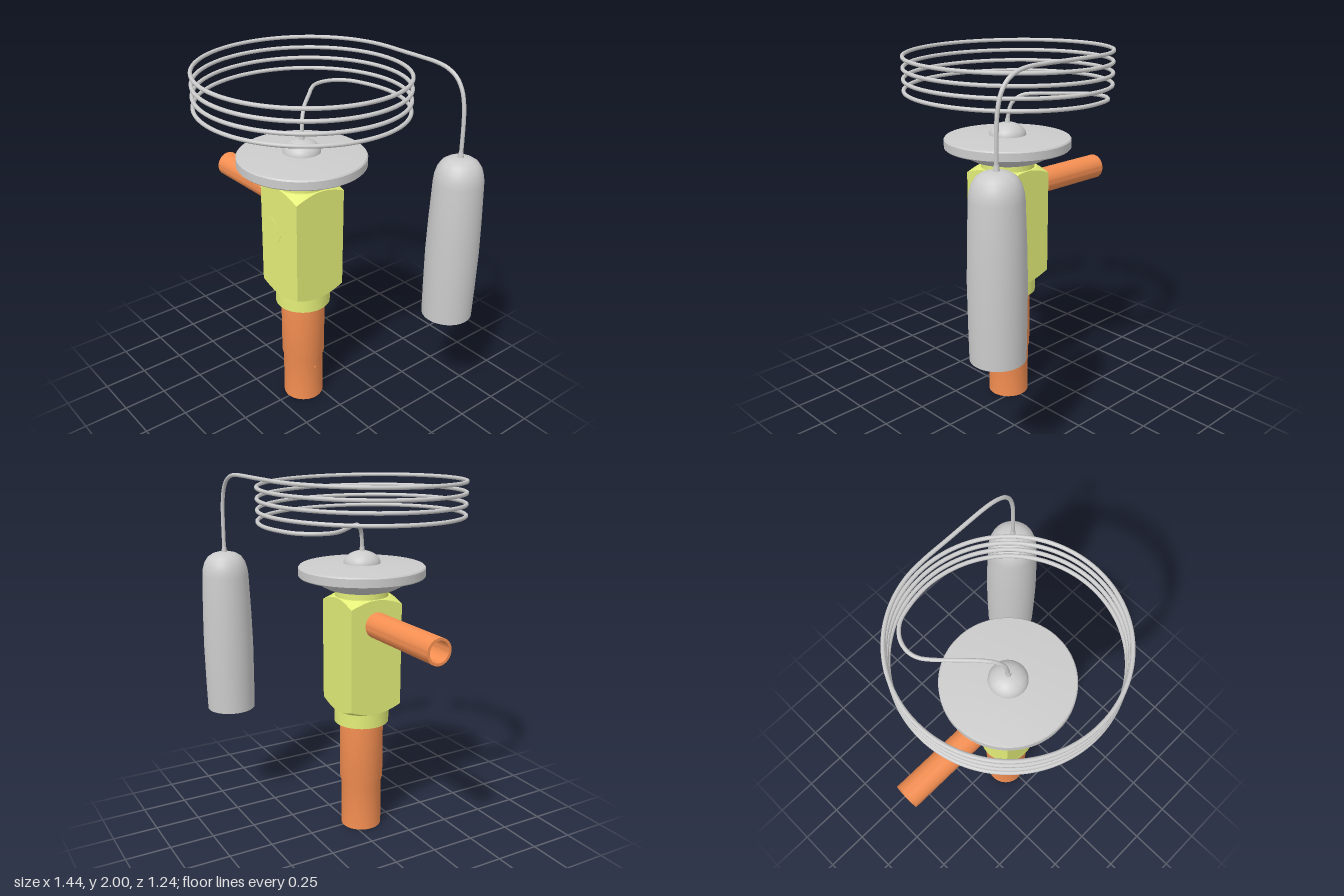
import * as THREE from 'three';
import { toCreasedNormals } from 'three/addons/utils/BufferGeometryUtils.js';

const AX = -0.01, AZ = 0.07; // valve axis
const BX = 0.578, BZ = -0.477; // bulb axis

const grey = new THREE.MeshStandardMaterial({ color: 0xcccccc });
const brass = new THREE.MeshStandardMaterial({ color: 0xe3ee78 });
const copper = new THREE.MeshStandardMaterial({ color: 0xf58f52 });

function add(parent, name, geometry, material, x = 0, y = 0, z = 0) {
  const mesh = new THREE.Mesh(geometry, material);
  mesh.name = name;
  mesh.position.set(x, y, z);
  parent.add(mesh);
  return mesh;
}

// Lathe from [radius, height] pairs listed upwards on the outside
function lathe(points, segments = 64) {
  const g = new THREE.LatheGeometry(points.map(([r, y]) => new THREE.Vector2(r, y)), segments);
  return toCreasedNormals(g, 0.5);
}

// Square bar whose corners are chamfered by a cone at both ends
function chamferedBar(half, y0, y1, slope, n = 64) {
  const pos = [], index = [];
  for (let i = 0; i <= n; i++) {
    const a = (i / n) * Math.PI * 2;
    const s = Math.sin(a), c = Math.cos(a);
    const r = half / Math.max(Math.abs(s), Math.abs(c));
    const cut = (r - half) * slope;
    const rings = [[0, y0], [half, y0], [r, y0 + cut], [r, y1 - cut], [half, y1], [0, y1]];
    for (const [q, y] of rings) pos.push(q * s, y, q * c);
  }
  for (let i = 0; i < n; i++) {
    for (let j = 0; j < 5; j++) {
      const a = i * 6 + j, b = a + 6;
      index.push(a, b, b + 1, a, b + 1, a + 1);
    }
  }
  const g = new THREE.BufferGeometry();
  g.setAttribute('position', new THREE.Float32BufferAttribute(pos, 3));
  g.setIndex(index);
  return toCreasedNormals(g, 0.3);
}

// Bent flow arrow as a flat outline
function arrowGeometry() {
  const s = new THREE.Shape();
  s.moveTo(-0.09, 1.17);
  s.quadraticCurveTo(-0.01, 1.18, 0.0, 1.1);
  s.lineTo(0.02, 1.1);
  s.lineTo(-0.012, 1.04);
  s.lineTo(-0.045, 1.1);
  s.lineTo(-0.025, 1.1);
  s.quadraticCurveTo(-0.03, 1.145, -0.09, 1.14);
  s.closePath();
  return new THREE.ExtrudeGeometry(s, { depth: 0.003, bevelEnabled: false });
}

// Capillary path: rises from the dome, coils four turns, drops to the bulb
function capillaryCurve() {
  const p = [
    [AX, 1.59, AZ], [AX - 0.003, 1.64, AZ - 0.003], [-0.025, 1.7, 0.055], [-0.06, 1.742, 0.017],
    [-0.11, 1.752, -0.037], [-0.18, 1.753, -0.11], [-0.25, 1.754, -0.182], [-0.292, 1.754, -0.24],
    [-0.304, 1.754, -0.3], [-0.284, 1.755, -0.37], [-0.225, 1.755, -0.43], [-0.12, 1.756, -0.464],
  ];
  const turns = 4, steps = 32, R = 0.542, cz = 0.065;
  for (let i = 0; i <= turns * steps; i++) {
    const a = (i / steps) * Math.PI * 2;
    p.push([AX + R * Math.sin(a), 1.757 + 0.0578 * (i / steps), cz - R * Math.cos(a)]);
  }
  p.push([0.15, 1.988, BZ], [0.28, 1.988, BZ], [0.38, 1.985, BZ], [0.45, 1.972, BZ], [0.51, 1.94, BZ],
    [0.55, 1.885, BZ], [0.57, 1.81, BZ], [0.576, 1.74, BZ], [BX, 1.65, BZ], [BX, 1.54, BZ]);
  return new THREE.CatmullRomCurve3(p.map((v) => new THREE.Vector3(...v)));
}

export function createModel() {
  const model = new THREE.Group();
  model.name = 'expansionValve';

  // Brass body with round collars
  const body = new THREE.Group();
  body.name = 'valveBody';
  body.position.set(AX, 0, AZ);
  model.add(body);
  add(body, 'squareBody', chamferedBar(0.156, 0.72, 1.36, 0.577), brass);
  add(body, 'lowerCollar', lathe([[0.1, 0.64], [0.152, 0.64], [0.152, 0.725], [0, 0.725]]), brass);
  add(body, 'upperCollar', lathe([[0, 1.355], [0.144, 1.355], [0.144, 1.41], [0, 1.41]]), brass);
  add(body, 'flowArrow', arrowGeometry(), brass, 0, 0, 0.1545);

  // Hollow copper pipes
  add(body, 'lowerPipe', lathe([
    [0.098, 0.66], [0.098, 0], [0.114, 0], [0.114, 0.27], [0.122, 0.3], [0.122, 0.66],
  ]), copper);
  const sidePipe = add(body, 'sidePipe', lathe([
    [0.056, 0.14], [0.056, 0.715], [0.07, 0.715], [0.07, 0.14],
  ].reverse(), 48), copper, 0, 1.225, 0);
  sidePipe.rotation.z = Math.PI / 2;

  // Small stop dimples on the pipes
  const dimple = new THREE.SphereGeometry(0.012, 12, 8);
  add(body, 'lowerPipeDimple', dimple, copper, 0.106, 0.22, 0);
  add(body, 'sidePipeTopDimple', dimple, copper, -0.265, 1.285, 0);
  add(body, 'sidePipeFrontDimple', dimple, copper, -0.265, 1.19, 0.052);

  // Diaphragm housing with central dome
  add(body, 'diaphragmHousing', lathe([
    [0, 1.397], [0.17, 1.397], [0.19, 1.403], [0.222, 1.42], [0.245, 1.442], [0.26, 1.45],
    [0.335, 1.464], [0.341, 1.47], [0.341, 1.513], [0.335, 1.52], [0.2, 1.532], [0, 1.536],
  ], 96), grey);
  const dome = [[0.1, 1.53]];
  for (let i = 1; i <= 10; i++) {
    const a = (i / 10) * Math.PI / 2;
    dome.push([0.1 * Math.cos(a), 1.53 + 0.07 * Math.sin(a)]);
  }
  add(body, 'housingDome', lathe(dome, 48), grey);
  add(body, 'domeFerrule', new THREE.CylinderGeometry(0.012, 0.016, 0.03, 20), grey, 0, 1.607, 0);

  // Coiled capillary tube
  add(model, 'capillaryTube', new THREE.TubeGeometry(capillaryCurve(), 700, 0.0105, 10), grey);

  // Sensing bulb
  const bulb = new THREE.Group();
  bulb.name = 'sensingBulb';
  bulb.position.set(BX, 0, BZ);
  model.add(bulb);
  add(bulb, 'bulbShell', lathe([
    [0, 0.63], [0.136, 0.63], [0.139, 0.8], [0.141, 1.02], [0.137, 1.2], [0.129, 1.42], [0.125, 1.455],
    [0.113, 1.495], [0.093, 1.525], [0.065, 1.543], [0.035, 1.551], [0, 1.553],
  ]), grey);
  add(bulb, 'bulbFerrule', new THREE.CylinderGeometry(0.012, 0.016, 0.03, 20), grey, 0, 1.563, 0);
  add(bulb, 'bulbEndNub', new THREE.SphereGeometry(0.032, 24, 16), grey, 0, 0.615, 0);

  return model;
}
